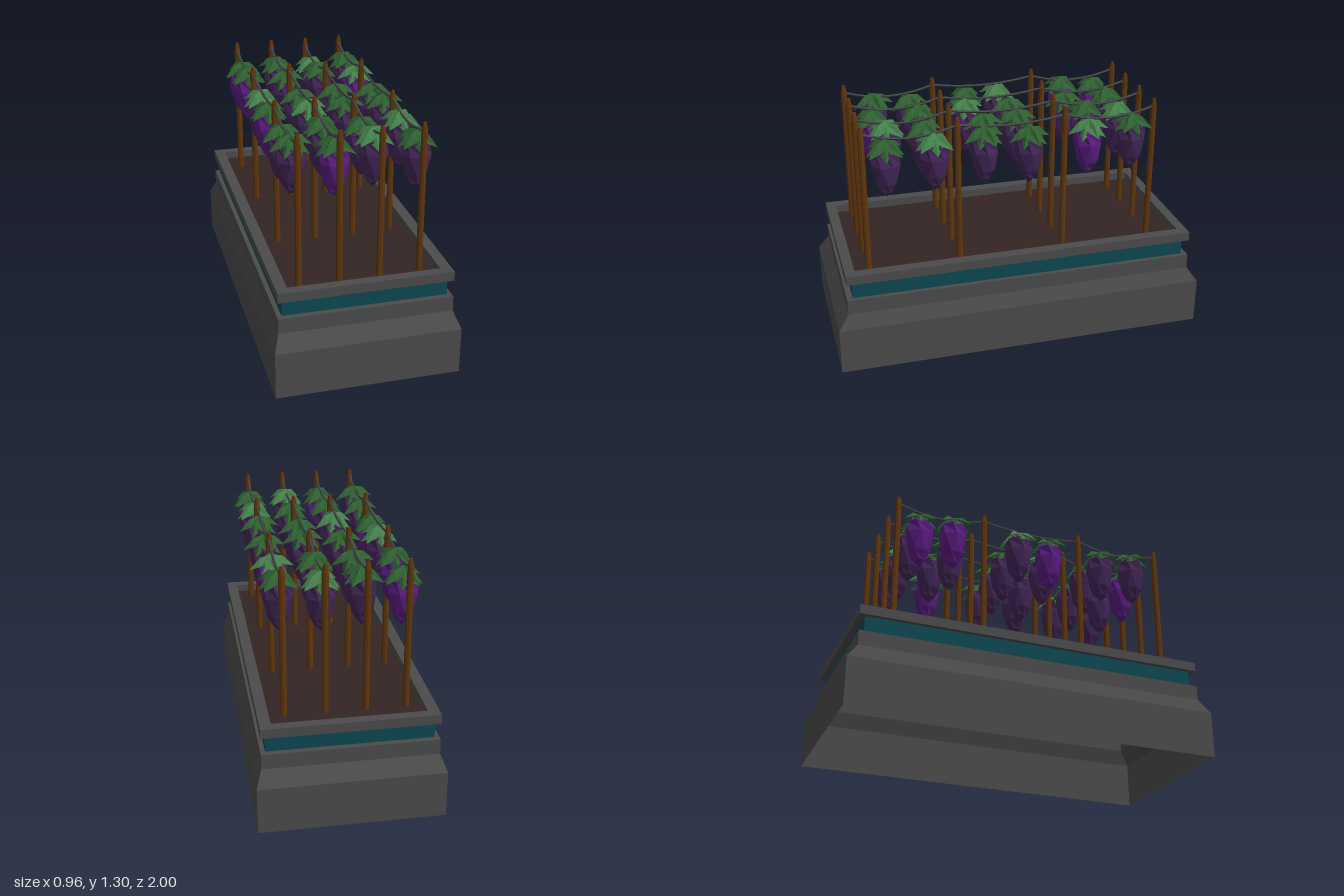
import * as THREE from 'three';

const mat = (name, color, opts = {}) => {
  const m = new THREE.MeshStandardMaterial({ color, flatShading: true, ...opts });
  m.name = name;
  return m;
};

function buffer(pos, index) {
  const g = new THREE.BufferGeometry();
  g.setAttribute('position', new THREE.Float32BufferAttribute(pos, 3));
  g.setIndex(index);
  g.computeVertexNormals();
  return g;
}

// Rectangular shell lofted through levels of [half width, half depth, height]
function rectShell(levels) {
  const pos = [], index = [];
  for (const [x, z, y] of levels) pos.push(x, y, z, x, y, -z, -x, y, -z, -x, y, z);
  for (let l = 0; l < levels.length - 1; l++) {
    for (let i = 0; i < 4; i++) {
      const a = l * 4 + i, b = l * 4 + (i + 1) % 4;
      index.push(a, b, b + 4, a, b + 4, a + 4);
    }
  }
  return buffer(pos, index);
}

// Drooping four-pointed leaf star; each ring lists [radius, height] at 8 angles per quarter pattern
function leafStar(tip, drop, valley) {
  const pos = [0, 0, 0], index = [], n = 16;
  const outer = [[tip, -drop], [tip * 0.66, -drop * 0.72], [valley, -drop * 0.5], [tip * 0.66, -drop * 0.72]];
  for (let i = 0; i < n; i++) {
    const a = (i / n) * Math.PI * 2, r = i % 4 === 0 ? tip * 0.5 : valley * 0.65;
    pos.push(Math.sin(a) * r, i % 4 === 0 ? -drop * 0.2 : -drop * 0.33, Math.cos(a) * r);
  }
  for (let i = 0; i < n; i++) {
    const a = (i / n) * Math.PI * 2, [r, y] = outer[i % 4];
    pos.push(Math.sin(a) * r, y, Math.cos(a) * r);
  }
  for (let i = 0; i < n; i++) {
    const a = 1 + i, b = 1 + (i + 1) % n;
    index.push(0, a, b, a, a + n, b + n, a, b + n, b);
  }
  return buffer(pos, index);
}

export function createModel() {
  const group = new THREE.Group();
  const stone = mat('stone grey', 0x4b4b4b, { side: THREE.DoubleSide });
  const teal = mat('teal band', 0x0e4752, { side: THREE.DoubleSide });
  const soilMat = mat('dark soil', 0x322423, { side: THREE.DoubleSide });
  const wood = mat('brown wood', 0x5f360c);
  const wireMat = mat('wire grey', 0x434646);
  const grapeDark = mat('dark purple', 0x432657);
  const grapeBright = mat('bright purple', 0x5a1c80);
  const leafDark = mat('dark green', 0x2e5f30, { side: THREE.DoubleSide });
  const leafLight = mat('light green', 0x437f4a, { side: THREE.DoubleSide });

  const add = (name, geo, material, parent = group) => {
    const m = new THREE.Mesh(geo, material);
    m.name = name;
    parent.add(m);
    return m;
  };

  // Hollow planter: sloped plinth, recessed band, overhanging rim
  add('plinth', rectShell([[0.478, 1, 0], [0.478, 1, 0.25], [0.448, 0.943, 0.33],
    [0.448, 0.943, 0.41], [0.424, 0.912, 0.41]]), stone);
  add('band', rectShell([[0.424, 0.912, 0.41], [0.424, 0.912, 0.5]]), teal);
  add('rim', rectShell([[0.424, 0.912, 0.5], [0.448, 0.943, 0.5], [0.448, 0.943, 0.55],
    [0.39, 0.89, 0.55], [0.39, 0.89, 0.505]]), stone);
  add('soil', new THREE.PlaneGeometry(0.84, 1.82).rotateX(-Math.PI / 2), soilMat).position.y = 0.508;

  // Posts with tapered tips, and wires sagging between them
  const columns = [-0.314, -0.108, 0.1, 0.308];
  const postZ = [0.807, 0.318, -0.252, -0.742];
  const postGeo = new THREE.LatheGeometry([[0, 0.485], [0.017, 0.485], [0.017, 1.255], [0.009, 1.3], [0, 1.3]]
    .map(p => new THREE.Vector2(...p)), 8);
  const sags = [0.042, 0.027, 0.042];
  for (const x of columns) {
    for (const z of postZ) add('post', postGeo, wood).position.set(x, 0, z);
    for (let s = 0; s < 3; s++) {
      const pts = [];
      for (let i = 0; i <= 6; i++) {
        const t = i / 6;
        pts.push(new THREE.Vector3(x, 1.26 - sags[s] * 4 * t * (1 - t),
          THREE.MathUtils.lerp(postZ[s], postZ[s + 1], t)));
      }
      add('wire', new THREE.TubeGeometry(new THREE.CatmullRomCurve3(pts), 10, 0.007, 5), wireMat);
    }
  }

  // Faceted grape bunch, twisted a little ring by ring
  const bunchGeo = new THREE.LatheGeometry([[0, 0.915], [0.031, 0.947], [0.057, 0.995], [0.077, 1.1],
    [0.072, 1.165], [0.04, 1.2], [0, 1.205]].map(p => new THREE.Vector2(...p)), 7);
  const bp = bunchGeo.attributes.position, v = new THREE.Vector3(), up = new THREE.Vector3(0, 1, 0);
  for (let i = 0; i < bp.count; i++) {
    v.fromBufferAttribute(bp, i).applyAxisAngle(up, [0, 0.3, 0, 0.4, 0.1, 0.4, 0][i % 7]);
    bp.setXYZ(i, v.x, v.y, v.z);
  }
  const topLeaf = leafStar(0.118, 0.075, 0.06);
  const underLeaf = leafStar(0.098, 0.085, 0.068);

  // Bunches hang in rows from back to front, alternate columns slightly shifted
  const rowZ = [[-0.62, -0.62], [-0.43, -0.38], [-0.05, -0.06], [0.135, 0.18], [0.45, 0.44], [0.65, 0.69]];
  const yaw = [[30, 55, 40, 50], [40, 10, 45, 8], [45, 12, 10, 12], [35, 25, 12, 18], [25, 38, 30, 45], [15, 50, 42, 40]];
  const bright = ['0,0', '1,0', '3,0', '1,3', '5,1'];
  const light = ['0,2', '1,3', '2,0', '3,1', '4,3', '5,2'];
  rowZ.forEach((zs, r) => columns.forEach((x, c) => {
    const key = `${r},${c}`, bunch = new THREE.Group();
    bunch.name = 'grapeBunch';
    bunch.position.set(x + 0.004, ((r * 3 + c * 2) % 4) * 0.008 - 0.012, zs[c % 2]);
    bunch.rotation.y = THREE.MathUtils.degToRad(yaw[r][c]);
    group.add(bunch);
    add('grapes', bunchGeo, bright.includes(key) ? grapeBright : grapeDark, bunch);
    const leafMat = light.includes(key) ? leafLight : leafDark;
    add('topLeaves', topLeaf, leafMat, bunch).position.y = 1.232;
    const under = add('underLeaves', underLeaf, leafMat, bunch);
    under.position.y = 1.222;
    under.rotation.y = Math.PI / 4;
  }));
  return group;
}
